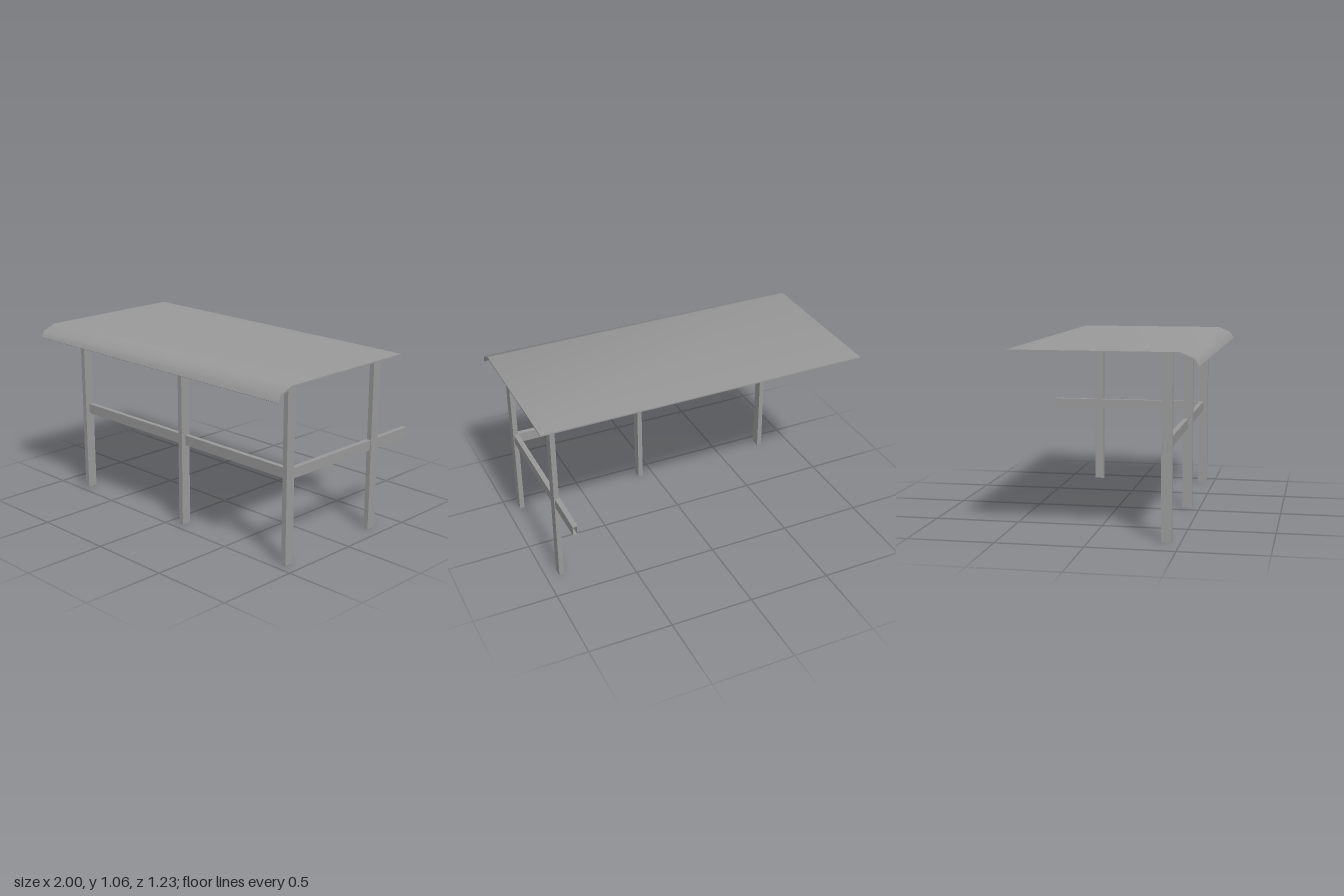
import * as THREE from 'three';
import { toCreasedNormals } from 'three/addons/utils/BufferGeometryUtils.js';

const material = new THREE.MeshStandardMaterial({ color: 0x999999 });

// Open rectangular hollow section, w by h, extruded along +z
function tube(w, h, length, wall = 0.005) {
  const rect = (P, a, b) => new P([
    new THREE.Vector2(-a / 2, -b / 2), new THREE.Vector2(a / 2, -b / 2),
    new THREE.Vector2(a / 2, b / 2), new THREE.Vector2(-a / 2, b / 2),
  ]);
  const shape = rect(THREE.Shape, w, h);
  shape.holes.push(rect(THREE.Path, w - 2 * wall, h - 2 * wall));
  return new THREE.ExtrudeGeometry(shape, { depth: length, bevelEnabled: false });
}

export function createModel() {
  const group = new THREE.Group();
  const add = (name, geometry, x = 0, y = 0, z = 0) => {
    const mesh = new THREE.Mesh(geometry, material);
    mesh.name = name;
    mesh.position.set(x, y, z);
    group.add(mesh);
  };

  // Upright posts: three along the front, one at the back
  const post = tube(0.03, 0.06, 1.05).rotateX(-Math.PI / 2);
  add('frontPostRight', post, -0.802, 0, 0.421);
  add('frontPostMiddle', post, 0.086, 0, 0.421);
  add('frontPostLeft', post, 0.908, 0, 0.421);
  add('backPost', post, 0.908, 0, -0.301);

  // Rails: one through the front posts, one running back past the rear post
  add('frontRail', tube(0.03, 0.06, 1.72).rotateY(Math.PI / 2), -0.823, 0.525, 0.409);
  add('sideRail', tube(0.03, 0.06, 1.01), 0.903, 0.525, -0.614);

  // Thin top sheet with its front edge bent down
  const upper = [[-0.415, 1.057], [0.512, 1.057], [0.592, 1.025], [0.614, 0.985]];
  const lower = [[0.607, 0.981], [0.586, 1.018], [0.51, 1.049], [-0.415, 1.049]];
  const profile = new THREE.Shape([...upper, ...lower].map(([z, y]) => new THREE.Vector2(-z, y)));
  const sheet = new THREE.ExtrudeGeometry(profile, { depth: 2, bevelEnabled: false });
  sheet.translate(0, 0, -1).rotateY(Math.PI / 2);
  add('topSheet', toCreasedNormals(sheet, 0.9));

  return group;
}
